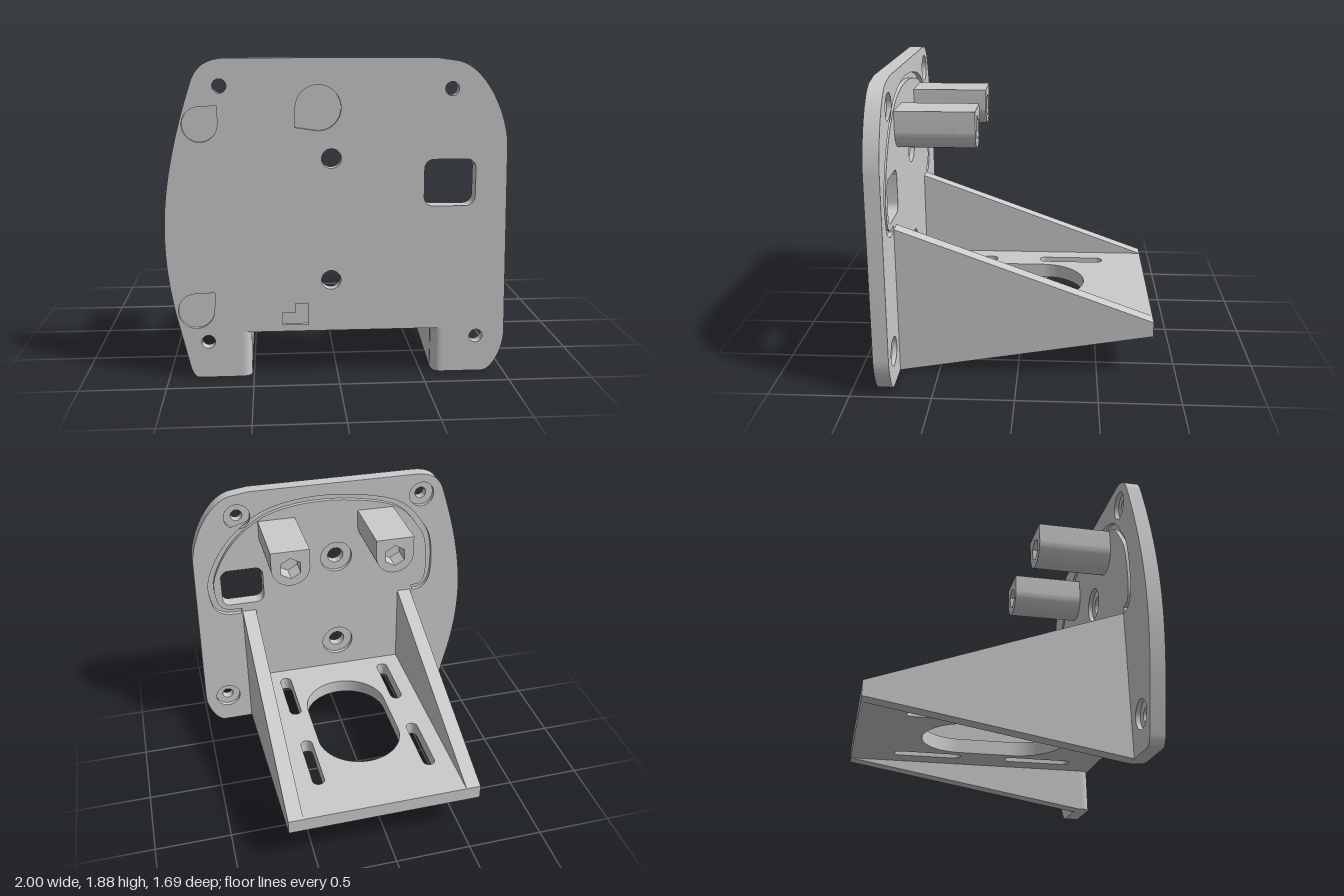
import * as THREE from 'three';
import { toCreasedNormals } from 'three/addons/utils/BufferGeometryUtils.js';

const V = (x, y) => new THREE.Vector2(x, y);
const poly = (pts) => new THREE.Shape(pts.map(([x, y]) => V(x, y)));

function circle(x, y, r) {
  const p = new THREE.Path();
  p.absarc(x, y, r, 0, Math.PI * 2);
  return p;
}

function roundRect(x0, y0, x1, y1, r) {
  const p = new THREE.Path();
  p.absarc(x1 - r, y1 - r, r, 0, Math.PI / 2);
  p.absarc(x0 + r, y1 - r, r, Math.PI / 2, Math.PI);
  p.absarc(x0 + r, y0 + r, r, Math.PI, Math.PI * 1.5);
  p.absarc(x1 - r, y0 + r, r, Math.PI * 1.5, Math.PI * 2);
  p.closePath();
  return p;
}

// Circle with one pulled-out corner on the upper right (s = 1) or lower left (s = -1)
function teardrop(x, y, r, s, cx, cy) {
  const a = s > 0 ? 0 : Math.PI;
  const p = new THREE.Path();
  p.absarc(x, y, r, a + Math.PI / 2, a + Math.PI * 2);
  p.lineTo(cx, cy);
  p.closePath();
  return p;
}

// Constant-width band along a smooth open path
function band(points, width) {
  const curve = new THREE.SplineCurve(points.map(([x, y]) => V(x, y)));
  const a = [], b = [];
  for (let i = 0; i <= 60; i++) {
    const p = curve.getPoint(i / 60), t = curve.getTangent(i / 60);
    const n = V(-t.y, t.x).multiplyScalar(width / 2);
    a.push(p.clone().add(n));
    b.unshift(p.clone().sub(n));
  }
  return new THREE.Path([...a, ...b]);
}

function extrude(shape, depth, holes = []) {
  shape.holes = holes;
  return new THREE.ExtrudeGeometry(shape, { depth, bevelEnabled: false, curveSegments: 24 });
}

const NOTCH = { x: 0.03, half: 0.54, round: 0.06, top: 0.275 };
const BACK = 0.75, FRONT = 0.845;

function plateOutline() {
  const s = new THREE.Shape();
  const inner = NOTCH.half + NOTCH.round;
  s.moveTo(NOTCH.x + inner, 0);
  s.lineTo(0.87, 0);
  s.bezierCurveTo(0.93, 0, 1, 0.13, 1, 0.24);
  s.lineTo(0.98, 1.39);
  s.bezierCurveTo(0.96, 1.6, 0.82, 1.85, 0.66, 1.86);
  s.lineTo(0.56, 1.875);
  s.lineTo(-0.64, 1.875);
  s.bezierCurveTo(-0.74, 1.87, -0.8, 1.83, -0.83, 1.74);
  s.bezierCurveTo(-0.91, 1.5, -1, 1.18, -1, 0.86);
  s.bezierCurveTo(-1, 0.66, -0.97, 0.5, -0.95, 0.4);
  s.lineTo(-0.87, 0.06);
  s.quadraticCurveTo(-0.85, 0, -0.82, 0);
  s.lineTo(NOTCH.x - inner, 0);
  s.lineTo(NOTCH.x - inner, NOTCH.top);
  s.lineTo(NOTCH.x + inner, NOTCH.top);
  s.closePath();
  return s;
}

export function createModel() {
  const model = new THREE.Group();
  const material = new THREE.MeshStandardMaterial({ color: 0xcccccc });
  const add = (name, geometry, parent = model) => {
    const mesh = new THREE.Mesh(toCreasedNormals(geometry, 0.5), material);
    mesh.name = name;
    parent.add(mesh);
    return mesh;
  };

  // Face plate in three layers: front pockets, solid core, rear counterbores and groove
  const plate = new THREE.Group();
  plate.name = 'facePlate';
  model.add(plate);
  const bolts = [
    [-0.67, 1.72, 0.04, 0.09], [0.65, 1.7, 0.04, 0.09], [-0.765, 0.22, 0.04, 0.09],
    [0.83, 0.22, 0.04, 0.09], [-0.04, 1.305, 0.057, 0.115], [-0.04, 0.585, 0.057, 0.115],
  ];
  const through = () => bolts.map(([x, y, r]) => circle(x, y, r));
  const bored = bolts.map(([x, y, , r]) => circle(x, y, r));
  const windowHole = () => roundRect(0.5, 1.02, 0.8, 1.295, 0.055);
  const pockets = [
    teardrop(-0.785, 1.505, 0.1, 1, -0.685, 1.61),
    teardrop(-0.83, 0.41, 0.105, 1, -0.72, 0.52),
    teardrop(-0.115, 1.595, 0.13, -1, -0.25, 1.485),
    poly([[-0.325, 0.315], [-0.175, 0.315], [-0.175, 0.445], [-0.25, 0.445], [-0.25, 0.39], [-0.325, 0.39]]),
  ];
  const groove = band([
    [-0.62, 0.97], [-0.69, 0.98], [-0.74, 1.07], [-0.74, 1.3], [-0.68, 1.47], [-0.47, 1.68],
    [0, 1.77], [0.42, 1.72], [0.7, 1.53], [0.86, 1.26], [0.86, 1.05], [0.79, 0.97], [0.67, 0.96],
  ], 0.04);
  const layers = [
    ['rearLayer', BACK, 0.78, [...bored, windowHole(), groove]],
    ['coreLayer', 0.78, 0.825, [...through(), windowHole()]],
    ['frontLayer', 0.825, FRONT, [...through(), windowHole(), ...pockets]],
  ];
  for (const [name, z0, z1, holes] of layers) {
    add(name, extrude(plateOutline(), z1 - z0, holes), plate).position.z = z0;
  }

  // Rounded upright edges on both sides of the notch
  for (const side of [-1, 1]) {
    const s = new THREE.Shape();
    const r = NOTCH.round, xIn = NOTCH.x + side * NOTCH.half, xOut = xIn + side * r;
    s.moveTo(xOut, BACK);
    s.lineTo(xIn, BACK);
    s.lineTo(xIn, FRONT - r);
    s.quadraticCurveTo(xIn, FRONT, xOut, FRONT);
    s.closePath();
    add('notchEdge', extrude(s, NOTCH.top).rotateX(Math.PI / 2), plate).position.y = NOTCH.top;
  }

  // Horizontal shelf with a long central opening and four slots
  const slots = [roundRect(-0.26, -0.42, 0.31, 0.51, 0.284)];
  for (const x of [-0.36, 0.4]) {
    for (const z of [-0.56, 0.2]) slots.push(roundRect(x - 0.04, z, x + 0.04, z + 0.45, 0.0395));
  }
  const shelf = poly([[-0.52, -0.845], [0.58, -0.845], [0.58, 0.76], [-0.52, 0.76]]);
  add('shelf', extrude(shelf, 0.095, slots).rotateX(Math.PI / 2)).position.y = 0.37;

  // Tapered side gussets
  for (const x of [-0.51, 0.665]) {
    const s = poly([[0.755, 0], [0.755, 0.955], [-0.845, 0.37], [-0.845, 0.275]]);
    add('sideGusset', extrude(s, 0.097).rotateY(-Math.PI / 2)).position.x = x;
  }

  // Rear posts: flat top, round underside, hexagonal socket in the end
  const post = () => {
    const s = new THREE.Shape();
    s.moveTo(-0.13, 0.125);
    s.lineTo(-0.13, 0);
    s.absarc(0, 0.005, 0.13, Math.PI, Math.PI * 2);
    s.lineTo(0.13, 0.125);
    s.closePath();
    return s;
  };
  for (const x of [-0.33, 0.38]) {
    const group = new THREE.Group();
    group.name = 'rearPost';
    group.position.set(x, 1.525, 0.26);
    model.add(group);
    const hex = new THREE.Path();
    for (let i = 0; i < 6; i++) {
      const a = (i + 0.5) * Math.PI / 3, p = [0.075 * Math.cos(a), 0.075 * Math.sin(a)];
      i ? hex.lineTo(...p) : hex.moveTo(...p);
    }
    hex.closePath();
    add('postSocket', extrude(post(), 0.12, [hex]), group);
    add('postBody', extrude(post(), 0.4), group).position.z = 0.12;
  }
  return model;
}
